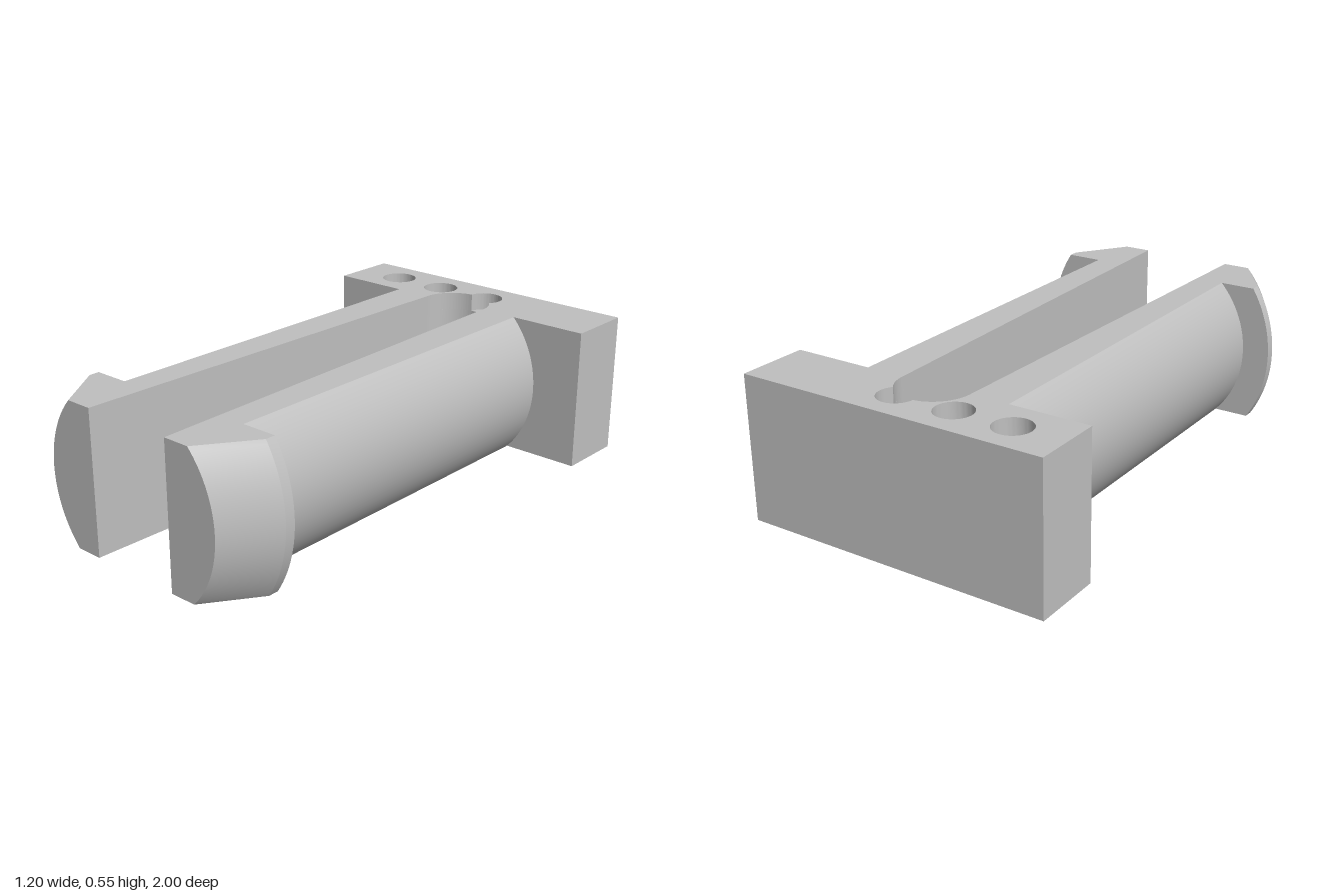
import * as THREE from 'three';
import { toCreasedNormals } from 'three/addons/utils/BufferGeometryUtils.js';

const HEIGHT = 0.55, MID = HEIGHT / 2;
const PLATE_FRONT = -0.73, SLOT_R = 0.14, SLOT_MOUTH = 0.185;
const HOLE_R = 0.07, HOLE_Z = -0.865, HOLE_FLOOR = 0.48;
const BLIND_HOLES = [-0.4, -0.175], OPEN_HOLE = 0.055;

// Plan of the end plate (shape y = -z), with the round slot end cut in
function plateShape(withHoles) {
  const w = -PLATE_FRONT, hw = -HOLE_Z;
  const s = new THREE.Shape();
  s.moveTo(SLOT_R, w);
  s.lineTo(0.6, w);
  s.lineTo(0.6, 1);
  s.lineTo(-0.6, 1);
  s.lineTo(-0.6, w);
  s.lineTo(-SLOT_R, w);
  if (!withHoles) {
    s.absarc(0, w, SLOT_R, Math.PI, 0, true);
    return s;
  }
  // the third hole breaks into the slot end: join the two arcs where they cross
  const d = Math.hypot(OPEN_HOLE, hw - w), b = Math.atan2(hw - w, OPEN_HOLE);
  const a = (d * d + SLOT_R ** 2 - HOLE_R ** 2) / (2 * d);
  const delta = Math.acos(a / SLOT_R), gamma = Math.acos((d - a) / HOLE_R);
  s.absarc(0, w, SLOT_R, Math.PI, b + delta, true);
  s.absarc(OPEN_HOLE, hw, HOLE_R, b + Math.PI - gamma, b - Math.PI + gamma, true);
  s.absarc(0, w, SLOT_R, b - delta, 0, true);
  for (const x of BLIND_HOLES) {
    s.holes.push(new THREE.Path().absarc(x, hw, HOLE_R, 0, Math.PI * 2, true));
  }
  return s;
}

function plateLayer(withHoles, y0, y1) {
  const g = new THREE.ExtrudeGeometry(plateShape(withHoles), {
    depth: y1 - y0, bevelEnabled: false, curveSegments: 32,
  });
  g.rotateX(-Math.PI / 2).translate(0, y0, 0);
  return toCreasedNormals(g, 0.5);
}

// Leg lofted along z: flat top, bottom and inner wall, round outside, barbed tip
function legGeometry(side) {
  const stations = [[PLATE_FRONT, 0.4], [0.76, 0.4], [0.76, 0.51], [0.8, 0.51], [1, 0.4]];
  const SEG = 32, N = SEG + 3;
  const pos = [], idx = [];
  const tri = (a, b, c) => (side > 0 ? idx.push(a, b, c) : idx.push(a, c, b));
  for (const [z, r] of stations) {
    const t = (z - PLATE_FRONT) / (1 - PLATE_FRONT);
    const inner = SLOT_R + (SLOT_MOUTH - SLOT_R) * t;
    const half = Math.asin(MID / r);
    pos.push(side * inner, 0, z);
    for (let i = 0; i <= SEG; i++) {
      const a = -half + (2 * half * i) / SEG;
      pos.push(side * r * Math.cos(a), MID + r * Math.sin(a), z);
    }
    pos.push(side * inner, HEIGHT, z);
  }
  for (let k = 0; k < stations.length - 1; k++) {
    for (let i = 0; i < N; i++) {
      const j = (i + 1) % N, p = k * N, q = p + N;
      tri(p + i, p + j, q + j);
      tri(p + i, q + j, q + i);
    }
  }
  // front end face
  const e = (stations.length - 1) * N;
  for (let i = 1; i < N - 1; i++) tri(e, e + i, e + i + 1);
  const g = new THREE.BufferGeometry();
  g.setAttribute('position', new THREE.Float32BufferAttribute(pos, 3));
  g.setIndex(idx);
  return toCreasedNormals(g, 0.4);
}

export function createModel() {
  const group = new THREE.Group();
  const grey = new THREE.MeshStandardMaterial({ color: 0xc0c0c0 });
  grey.name = 'light grey';
  const add = (name, geometry) => {
    const mesh = new THREE.Mesh(geometry, grey);
    mesh.name = name;
    group.add(mesh);
  };
  add('endPlateBase', plateLayer(false, 0, HOLE_FLOOR));
  add('endPlateTopWithHoles', plateLayer(true, HOLE_FLOOR, HEIGHT));
  add('leftLeg', legGeometry(1));
  add('rightLeg', legGeometry(-1));
  return group;
}
